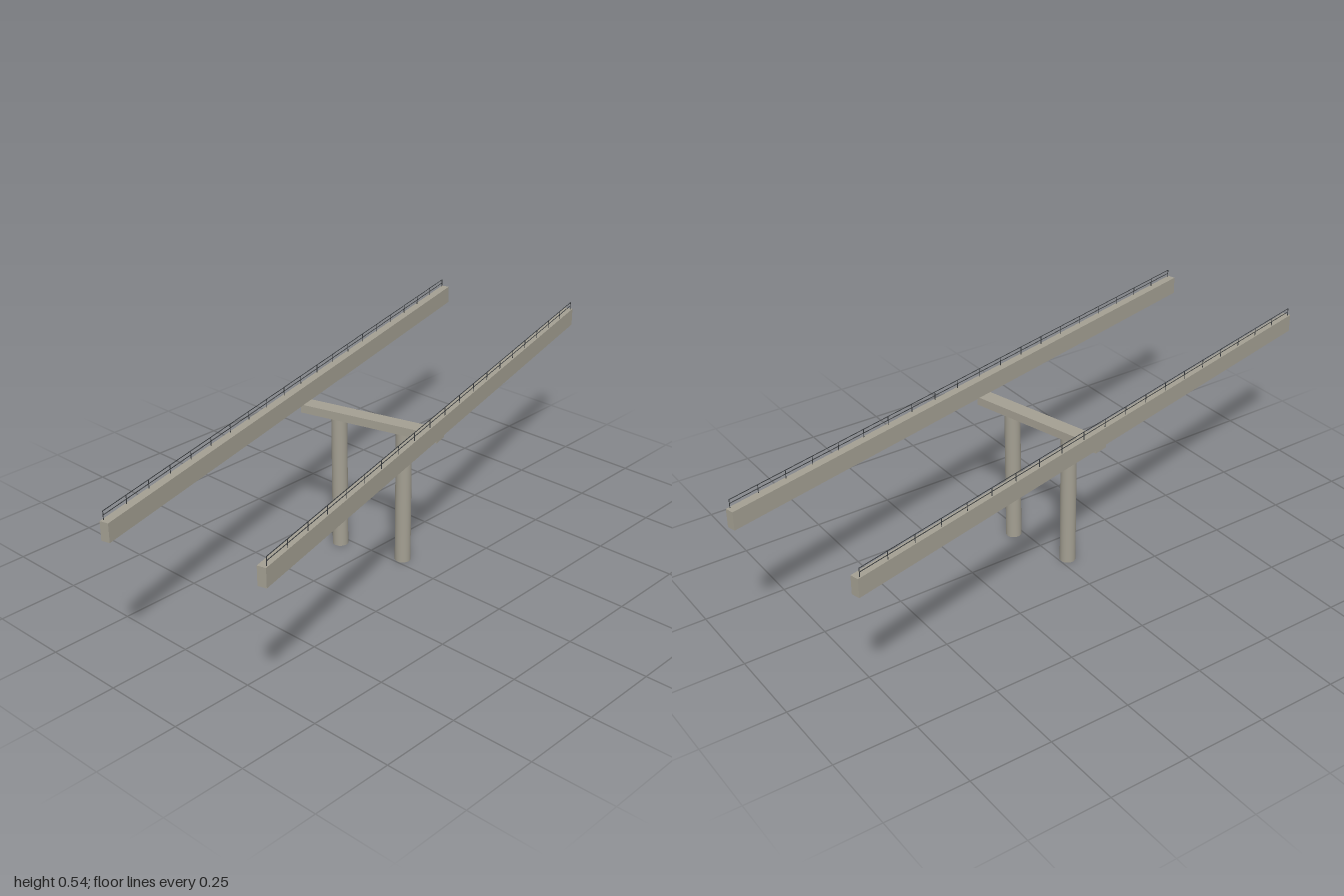
import * as THREE from 'three';

const concrete = new THREE.MeshStandardMaterial({ color: 0xa39f92 });
const steel = new THREE.MeshStandardMaterial({ color: 0x3a3d40 });

function box(parent, name, size, pos, material) {
  const mesh = new THREE.Mesh(new THREE.BoxGeometry(...size), material);
  mesh.name = name;
  mesh.position.set(...pos);
  parent.add(mesh);
  return mesh;
}

// One edge girder with a railing near its outer edge
function createGirder(name, side) {
  const length = 1.94, height = 0.056;
  const girder = new THREE.Group();
  girder.name = name;
  box(girder, 'girderBeam', [length, height, 0.026], [0, 0, 0], concrete);

  const railing = new THREE.Group();
  railing.name = 'railing';
  railing.position.set(0, height / 2, side * 0.0085);
  girder.add(railing);
  const railLength = length - 0.02, intervals = 20, t = 0.0016;
  for (let i = 0; i <= intervals; i++) {
    const x = (i / intervals - 0.5) * railLength;
    box(railing, 'railPost', [t, 0.026, t], [x, 0.013, 0], steel);
  }
  for (const y of [0.0135, 0.0252]) {
    box(railing, 'handrail', [railLength, t, t], [0, y, 0], steel);
  }
  return girder;
}

export function createModel() {
  const model = new THREE.Group();
  model.name = 'bridgeSpan';

  // The whole span stands at a skew to the axes
  const span = new THREE.Group();
  span.name = 'skewedSpan';
  span.rotation.y = 0.253;
  model.add(span);

  // Girders and columns, mirrored front to back
  for (const side of [1, -1]) {
    const label = side > 0 ? 'front' : 'back';
    const girder = createGirder(label + 'Girder', side);
    girder.position.set(0, 0.4785, side * 0.23);
    girder.rotation.z = 0.0035; // slight longitudinal grade
    span.add(girder);

    const column = new THREE.Mesh(new THREE.CylinderGeometry(0.024, 0.024, 0.426, 24), concrete);
    column.name = label + 'Column';
    column.position.set(0, 0.213, side * 0.108);
    span.add(column);
  }

  // Pier cap carrying both girders
  box(span, 'pierCap', [0.048, 0.026, 0.452], [0, 0.438, 0], concrete);

  return model;
}
